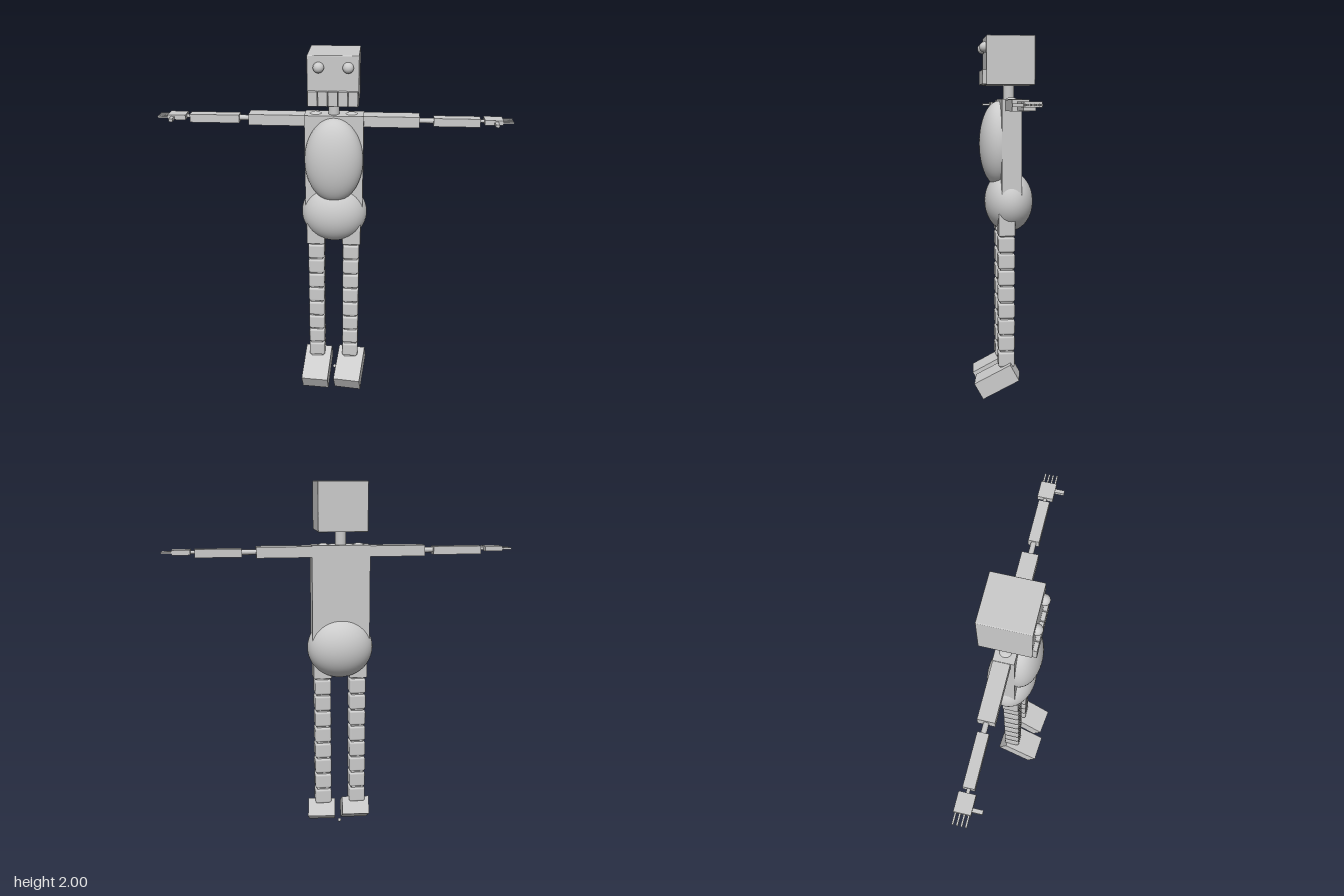
import * as THREE from 'three';
import { RoundedBoxGeometry } from 'three/addons/geometries/RoundedBoxGeometry.js';

const grey = new THREE.MeshStandardMaterial({ color: 0xcccccc });

export function createModel() {
  const model = new THREE.Group();
  model.name = 'robot';

  const add = (name, geometry, x, y, z, parent = model) => {
    const mesh = new THREE.Mesh(geometry, grey);
    mesh.name = name;
    mesh.position.set(x, y, z);
    parent.add(mesh);
    return mesh;
  };
  // Box given by its centre and size
  const box = (name, x, y, z, w, h, d, parent) =>
    add(name, new THREE.BoxGeometry(w, h, d), x, y, z, parent);
  // Box with a small bevel on every edge
  const bevelBox = (name, x, y, z, w, h, d, r, parent) =>
    add(name, new RoundedBoxGeometry(w, h, d, 2, r), x, y, z, parent);
  const ellipsoid = (name, x, y, z, rx, ry, rz, parent) =>
    add(name, new THREE.SphereGeometry(1, 48, 32).scale(rx, ry, rz), x, y, z, parent);
  const rodX = (name, x0, x1, y, z, r, parent) =>
    add(name, new THREE.CylinderGeometry(r, r, Math.abs(x1 - x0), 20).rotateZ(Math.PI / 2),
      (x0 + x1) / 2, y, z, parent);
  const group = (name) => {
    const g = new THREE.Group();
    g.name = name;
    model.add(g);
    return g;
  };

  // Head with eyes and a row of teeth
  const head = group('head');
  bevelBox('skull', 0.003, 1.87, -0.025, 0.265, 0.26, 0.262, 0.005, head);
  for (const x of [-0.07, 0.08]) ellipsoid('eye', x, 1.94, 0.112, 0.028, 0.028, 0.028, head);
  for (let i = 0; i < 5; i++) {
    bevelBox('tooth', -0.101 + i * 0.052, 1.782, 0.105, 0.05, 0.077, 0.046, 0.003, head);
  }
  add('neck', new THREE.CylinderGeometry(0.03, 0.03, 0.12, 32), 0, 1.7, -0.027);

  // Torso, belly and hips
  box('torso', 0.003, 1.383, -0.028, 0.315, 0.565, 0.108);
  ellipsoid('belly', 0.003, 1.42, 0.03, 0.158, 0.235, 0.107);
  ellipsoid('hips', 0.003, 1.1, -0.027, 0.182, 0.17, 0.135);
  for (const x of [-0.097, 0.095]) ellipsoid('shoulderCap', x, 1.655, -0.03, 0.036, 0.02, 0.036);

  // Arms: the right forearm is slightly longer than the left
  const armZ = -0.037;
  for (const side of [1, -1]) {
    const arm = group(side > 0 ? 'leftArm' : 'rightArm');
    const foreStart = side > 0 ? 0.53 : 0.508;
    const thumbX = side > 0 ? 0.856 : 0.865;
    box('upperArm', side * 0.302, 1.632, armZ, 0.305, 0.058, 0.087, arm);
    rodX('elbow', side * 0.45, side * 0.535, 1.632, armZ, 0.014, arm);
    box('forearm', side * (foreStart + 0.775) / 2, 1.63, armZ, 0.775 - foreStart, 0.044, 0.057, arm);
    rodX('wrist', side * 0.77, side * 0.805, 1.635, armZ, 0.009, arm);
    box('palm', side * 0.844, 1.637, armZ, 0.096, 0.026, 0.082, arm);
    for (let i = 0; i < 4; i++) {
      box('finger', side * 0.916, 1.636, -0.067 + i * 0.0205, 0.064, 0.009, 0.009, arm);
    }
    box('thumb', side * thumbX, 1.635, 0.025, 0.02, 0.016, 0.055, arm);
  }

  // Legs: a stack of bevelled blocks on a core, ending in a tilted foot
  for (const side of [1, -1]) {
    const leg = group(side > 0 ? 'leftLeg' : 'rightLeg');
    const x = side * 0.098 + 0.002;
    bevelBox('hipBlock', x + side * 0.002, 0.985, -0.003, 0.102, 0.125, 0.092, 0.006, leg);
    box('legCore', x, 0.55, -0.003, 0.07, 0.82, 0.07, leg);
    for (let i = 0; i < 8; i++) {
      bevelBox('legBlock', x, 0.217 + i * 0.0937, -0.003, 0.092, 0.086, 0.092, 0.012, leg);
    }
    const foot = box('foot', side > 0 ? 0.101 : -0.094, 0.1, 0.047, 0.155, 0.102, 0.23, leg);
    foot.rotation.set(0.505, side > 0 ? -0.13 : -0.08, 0, 'YXZ');
  }

  // Small bead between the feet
  ellipsoid('bead', 0.005, 0.053, -0.023, 0.01, 0.01, 0.01);

  return model;
}
